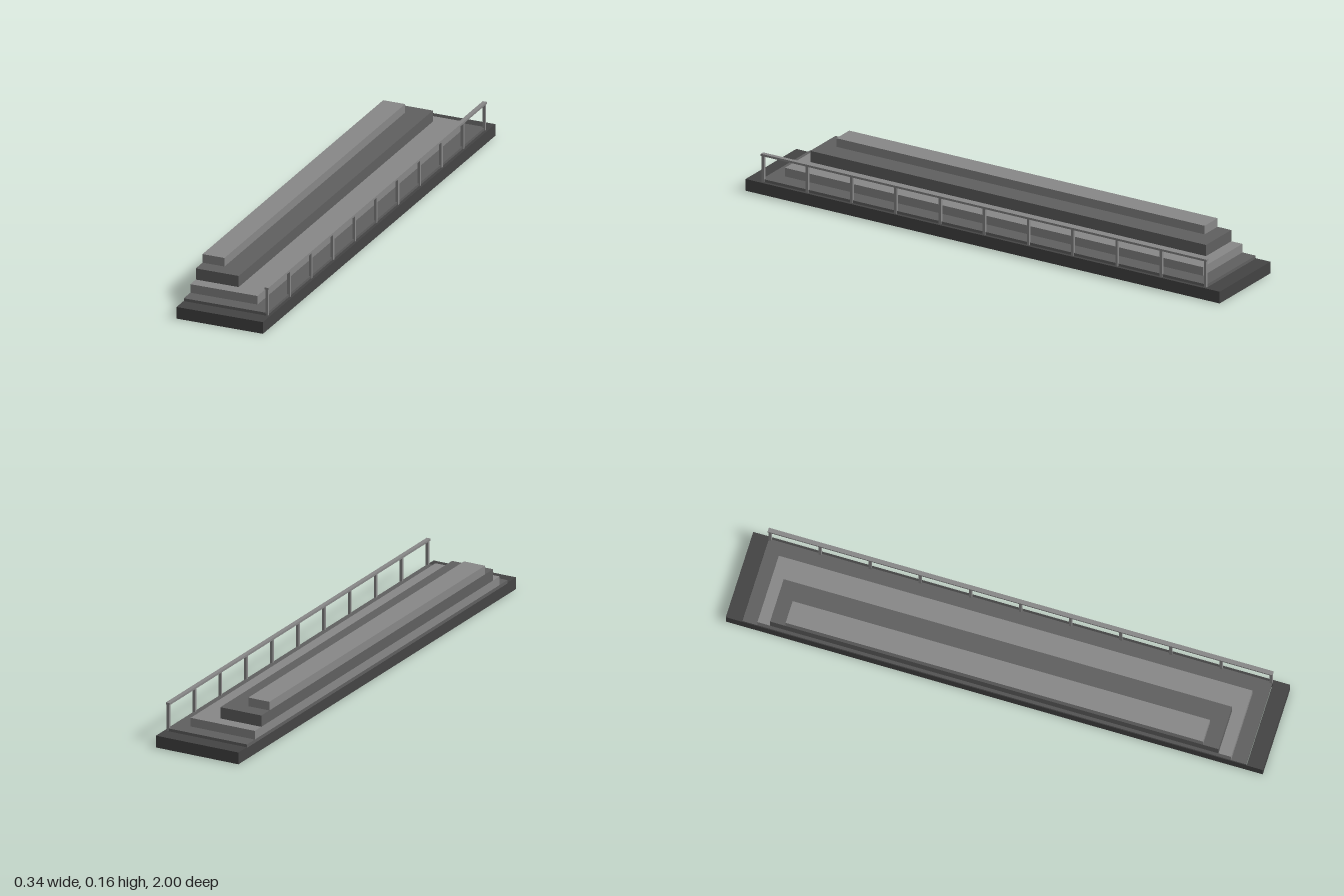
import * as THREE from 'three';

const material = (color) => new THREE.MeshStandardMaterial({ color });

// Box given by its limits on each axis
function block(name, mat, [x0, x1], [y0, y1], [z0, z1]) {
  const mesh = new THREE.Mesh(new THREE.BoxGeometry(x1 - x0, y1 - y0, z1 - z0), mat);
  mesh.position.set((x0 + x1) / 2, (y0 + y1) / 2, (z0 + z1) / 2);
  mesh.name = name;
  return mesh;
}

export function createModel() {
  const model = new THREE.Group();
  model.name = 'steppedPlatform';
  const dark = material(0x444444);
  const mid = material(0x606060);
  const light = material(0x888888);
  const back = -0.169;

  // Base frame, open underneath
  const base = new THREE.Group();
  base.name = 'baseFrame';
  const baseY = [0, 0.045];
  base.add(
    block('baseEndFront', dark, [back, 0.169], baseY, [0.94, 1]),
    block('baseEndBack', dark, [back, 0.169], baseY, [-1, -0.94]),
    block('baseRailSide', dark, [0.157, 0.169], baseY, [-0.94, 0.94]),
    block('baseWallSide', dark, [back, back + 0.004], baseY, [-0.94, 0.94])
  );
  model.add(base);

  // Deck and the three stepped tiers, flush along the wall side
  const tiers = [
    ['deck', mid, 0.157, 0.042, 0.055, 0.938],
    ['lowerTier', light, 0.094, 0.055, 0.088, 0.882],
    ['middleTier', mid, -0.001, 0.088, 0.131, 0.835],
    ['upperTier', light, -0.083, 0.131, 0.164, 0.777],
  ];
  for (const [name, mat, edge, y0, y1, half] of tiers) {
    model.add(block(name, mat, [back, edge], [y0, y1], [-half, half]));
  }

  // Railing: evenly spaced posts under a handrail
  const railing = new THREE.Group();
  railing.name = 'railing';
  const posts = 11;
  for (let i = 0; i < posts; i++) {
    const z = -0.933 + (1.866 * i) / (posts - 1);
    railing.add(block('railPost', light, [0.151, 0.161], [0.045, 0.145], [z - 0.005, z + 0.005]));
  }
  railing.add(block('handrail', light, [0.147, 0.163], [0.145, 0.153], [-0.94, 0.94]));
  model.add(railing);

  return model;
}
